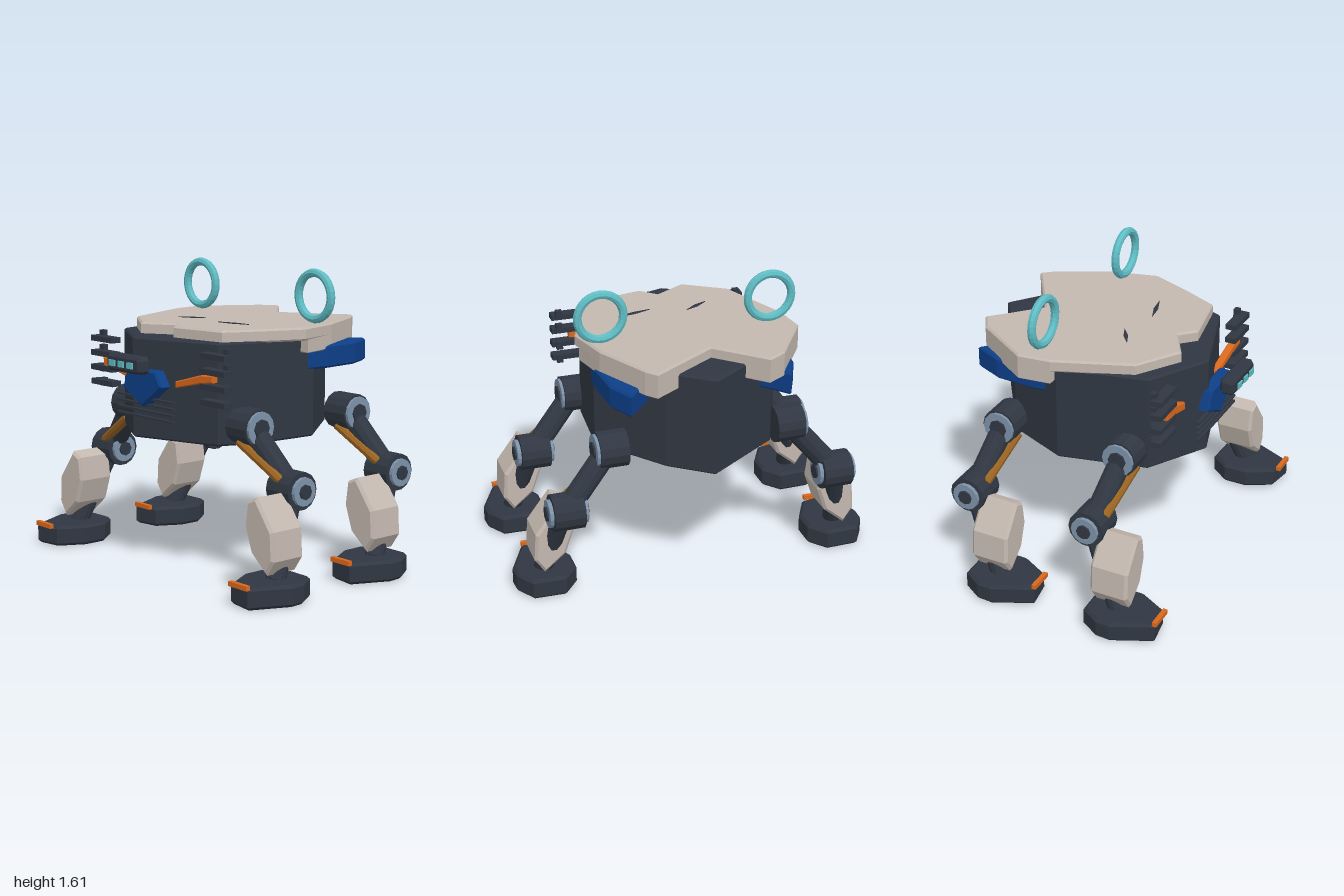
import * as THREE from 'three';

const mat = (name, color) => {
  const m = new THREE.MeshStandardMaterial({ color, flatShading: true });
  m.name = name;
  return m;
};

export function createModel() {
  const root = new THREE.Group();
  root.name = 'walkerRobot';
  const dark = mat('dark graphite', 0x303742);
  const tan = mat('warm grey armour', 0xc3b8af);
  const blue = mat('deep blue', 0x0d3f88);
  const orange = mat('orange', 0xdb681c);
  const brown = mat('bronze', 0x9a6320);
  const cyan = mat('cyan', 0x5fbcc4);
  const steel = mat('steel blue', 0x7d92aa);

  const add = (parent, name, geometry, material) => {
    const m = new THREE.Mesh(geometry, material);
    m.name = name;
    parent.add(m);
    return m;
  };
  const box = (parent, name, material, size, pos) => {
    const m = add(parent, name, new THREE.BoxGeometry(...size), material);
    m.position.set(...pos);
    return m;
  };
  // bevelled outline extruded from 0 to depth along z
  const extrude = (pts, depth, bevel) =>
    new THREE.ExtrudeGeometry(new THREE.Shape(pts.map(p => new THREE.Vector2(...p))), {
      depth: depth - 2 * bevel, bevelEnabled: bevel > 0, bevelSize: bevel,
      bevelThickness: bevel, bevelOffset: -bevel, bevelSegments: 1,
    }).translate(0, 0, bevel);
  // outline in x,y between two z values
  const frontPrism = (pts, z0, z1, bevel = 0.01) => extrude(pts, z1 - z0, bevel).translate(0, 0, z0);
  // outline in x,z between two heights
  const planPrism = (pts, y0, y1, bevel = 0.01) =>
    extrude(pts, y1 - y0, bevel).rotateX(Math.PI / 2).translate(0, y1, 0);
  const mirror = (pts, s) => pts.map(([x, y]) => [x * s, y]);
  const rod = (parent, name, material, a, b, r, sides = 12) => {
    const p = new THREE.Vector3(...a), q = new THREE.Vector3(...b);
    const d = q.clone().sub(p);
    const m = add(parent, name, new THREE.CylinderGeometry(r, r, d.length(), sides), material);
    m.position.copy(p).add(q).multiplyScalar(0.5);
    m.quaternion.setFromUnitVectors(new THREE.Vector3(0, 1, 0), d.normalize());
    return m;
  };

  // Hull
  add(root, 'hull', planPrism([
    [0, -0.72], [0.22, -0.55], [0.5, -0.19], [0.47, 0.2], [0.39, 0.39],
    [-0.11, 0.55], [-0.43, 0.36], [-0.54, -0.12], [-0.4, -0.45],
  ], 0.72, 1.26), dark);

  // Top shell with deeper rim over the rear half
  add(root, 'topShell', planPrism([
    [-0.06, -0.45], [-0.22, -0.6], [-0.3, -0.68], [-0.4, -0.62], [-0.6, -0.31], [-0.58, -0.13],
    [-0.42, 0.28], [-0.19, 0.43], [-0.02, 0.33], [0.06, 0.41], [0.38, 0.35],
    [0.47, 0.16], [0.565, -0.07], [0.5, -0.32], [0.35, -0.62], [0.3, -0.68],
  ], 1.25, 1.32), tan);
  add(root, 'rearShellRim', planPrism([
    [-0.06, -0.45], [-0.22, -0.6], [-0.3, -0.68], [-0.4, -0.62], [-0.6, -0.31], [-0.58, -0.13],
    [0.55, -0.1], [0.5, -0.32], [0.35, -0.62], [0.3, -0.68],
  ], 1.18, 1.27, 0.005), tan);
  [[-0.165, 0.095, 0.16, 0.55], [0.185, 0.1, 0.2, 0.24]].forEach(([x, z, w, turn]) => {
    const slit = add(root, 'shellSlit', planPrism(
      [[-w / 2, 0], [0, -0.012], [w / 2, 0], [0, 0.012]], 0, 0.006, 0), dark);
    slit.position.set(x, 1.318, z);
    slit.rotation.y = turn;
  });

  // Face: plate, floating visor, eyes and grille
  add(root, 'facePlate', frontPrism([
    [-0.13, 1.09], [0.11, 1.1], [0.165, 1.02], [0, 0.9], [-0.165, 0.985],
  ], 0.51, 0.58), blue);
  add(root, 'visor', frontPrism([
    [-0.125, 1.185], [0.125, 1.185], [0.14, 1.165], [0.14, 1.11], [0.125, 1.095],
    [-0.125, 1.095], [-0.14, 1.11], [-0.14, 1.165],
  ], 0.625, 0.705, 0.015), dark);
  for (const x of [-0.075, 0, 0.075]) box(root, 'eye', cyan, [0.046, 0.032, 0.009], [x, 1.14, 0.715]);
  for (let i = 0; i < 4; i++)
    box(root, 'grilleBar', dark, [0.47, 0.011, 0.02], [0, 0.945 - i * 0.034, 0.552]);

  for (const s of [1, -1]) {
    const side = s > 0 ? 'left' : 'right';

    // Ring antenna
    add(root, side + 'RingAntenna', new THREE.TorusGeometry(0.123, 0.023, 8, 28), cyan)
      .position.set(s * 0.465, 1.467, -0.227);

    // Blue flank panel
    add(root, side + 'FlankPanel', planPrism(mirror([
      [0.43, -0.65], [0.5, -0.5], [0.515, -0.28], [0.5, -0.15], [0.34, -0.22], [0.3, -0.5],
    ], s), 1.08, 1.205, 0.012), blue);

    // Orange brace and stacked fins
    add(root, side + 'Brace', frontPrism(mirror(s > 0
      ? [[0.46, 1.11], [0.36, 1.1], [0.16, 1.045], [0.16, 1.01], [0.36, 1.055], [0.46, 1.07]]
      : [[0.46, 1.11], [0.36, 1.1], [0.25, 1.065], [0.25, 1.02], [0.36, 1.045], [0.46, 1.06]],
    s), 0.445, 0.485, 0.006), orange);
    [1.205, 1.125, 1.045, 0.965].forEach((y, i) => {
      box(root, side + 'Fin', dark, [0.19, 0.03, 0.06], [s * 0.465, y, 0.463]);
      box(root, side + 'FinStud', dark, [0.035, 0.045, 0.03], [s * 0.52, y + (i < 2 ? 0.02 : -0.005), 0.435]);
    });

    // Legs: front and rear share one build
    for (const [where, z] of [['Front', 0], ['Rear', -0.712]]) {
      const leg = new THREE.Group();
      leg.name = side + where + 'Leg';
      leg.position.z = z;
      root.add(leg);
      const axle = (name, m, x0, x1, y, zc, r, n) =>
        rod(leg, name, m, [s * x0, y, zc], [s * x1, y, zc], r, n);

      // Hip joint
      axle('hipHub', dark, 0.41, 0.565, 0.825, 0.255, 0.1, 14);
      axle('hipRing', steel, 0.56, 0.58, 0.825, 0.255, 0.088, 14);
      axle('hipCap', dark, 0.575, 0.59, 0.825, 0.255, 0.05, 8);

      // Upper leg with piston
      rod(leg, 'upperLeg', dark, [s * 0.5, 0.825, 0.255], [s * 0.75, 0.53, 0.2], 0.062);
      rod(leg, 'piston', brown, [s * 0.47, 0.75, 0.31], [s * 0.74, 0.58, 0.265], 0.026, 8);

      // Knee joint
      axle('kneeHub', dark, 0.665, 0.83, 0.53, 0.2, 0.1, 14);
      axle('kneeRing', steel, 0.645, 0.85, 0.53, 0.2, 0.075, 14);
      axle('kneeCap', dark, 0.635, 0.86, 0.53, 0.2, 0.04, 8);

      // Shin and armour
      rod(leg, 'shin', dark, [s * 0.76, 0.53, 0.2], [s * 0.84, 0.1, 0.39], 0.052);
      add(leg, 'shinArmour', frontPrism(mirror([
        [0.78, 0.53], [0.71, 0.5], [0.693, 0.37], [0.74, 0.235],
        [0.855, 0.14], [0.91, 0.22], [0.9, 0.37],
      ], s), 0.26, 0.475, 0.015), tan);

      // Foot and toe bar
      add(leg, 'foot', planPrism(mirror([
        [0.67, 0.33], [0.67, 0.46], [0.75, 0.61], [0.9, 0.635],
        [1, 0.42], [0.995, 0.34], [0.93, 0.235], [0.75, 0.23],
      ], s), 0, 0.115, 0.016), dark);
      box(leg, 'toeBar', orange, [0.135, 0.025, 0.025], [s * 0.835, 0.117, 0.632]);
    }
  }
  return root;
}
